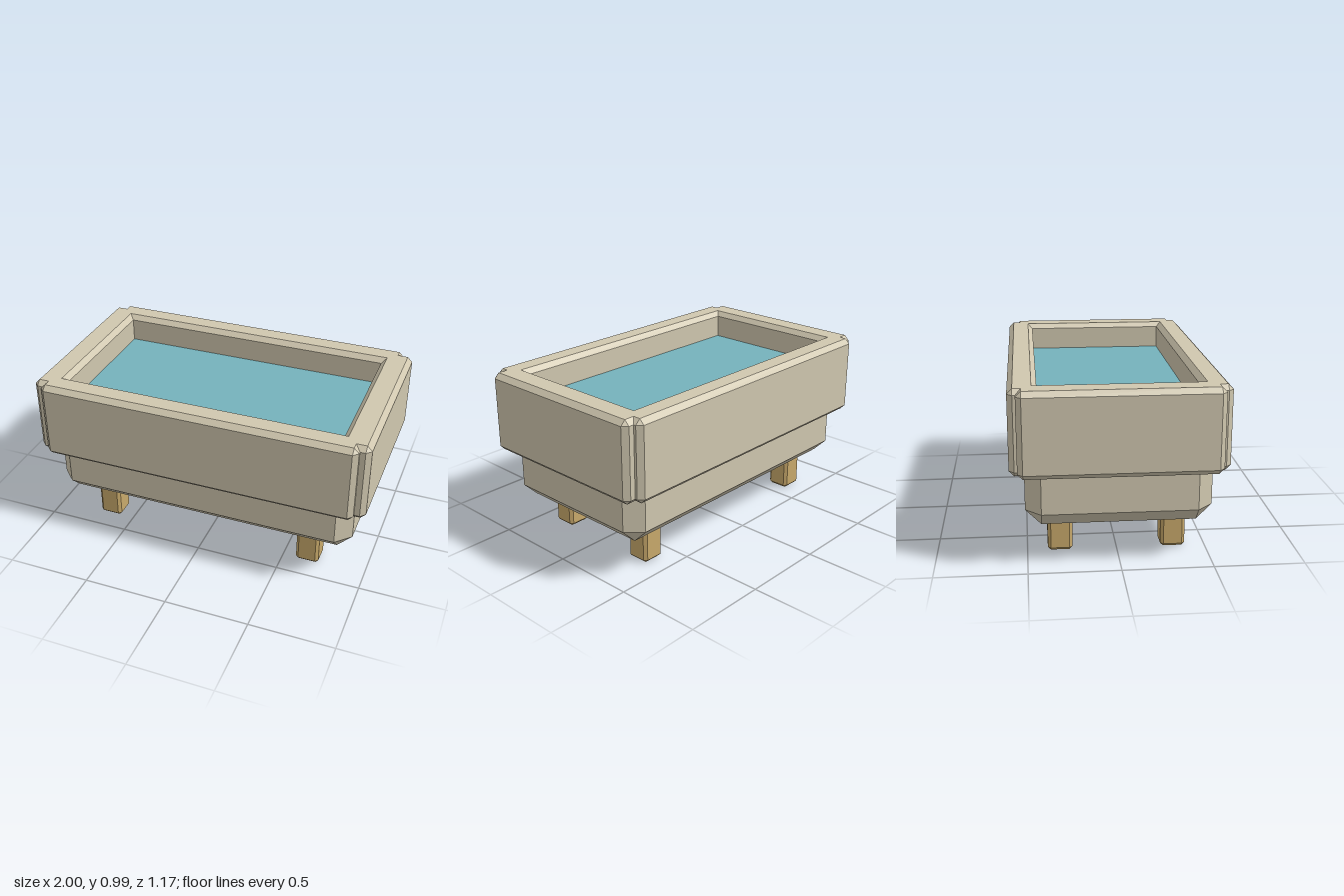
import * as THREE from 'three';
import { ConvexGeometry } from 'three/addons/geometries/ConvexGeometry.js';

// Box with flat chamfers on every edge and corner
function chamferBox(w, h, d, c) {
  const pts = [];
  for (const sx of [-1, 1]) for (const sy of [-1, 1]) for (const sz of [-1, 1]) {
    const x = w / 2, y = h / 2, z = d / 2;
    pts.push(
      new THREE.Vector3(sx * x, sy * (y - c), sz * (z - c)),
      new THREE.Vector3(sx * (x - c), sy * y, sz * (z - c)),
      new THREE.Vector3(sx * (x - c), sy * (y - c), sz * z)
    );
  }
  return new ConvexGeometry(pts);
}

export function createModel() {
  const group = new THREE.Group();
  const material = (name, color) => {
    const m = new THREE.MeshStandardMaterial({ color });
    m.name = name;
    return m;
  };
  const stone = material('stone', 0xd0c7af);
  const wood = material('wood', 0xc8a96b);
  const water = material('water', 0x75b2bc);

  const add = (name, geometry, mat, x, y, z) => {
    const mesh = new THREE.Mesh(geometry, mat);
    mesh.name = name;
    mesh.position.set(x, y, z);
    group.add(mesh);
  };

  // Lower basin body, rising inside the rim walls
  add('basin', chamferBox(1.84, 0.58, 1.016, 0.086), stone, 0, 0.503, 0);

  // Four rim walls that overlap at the corners and leave small notches
  const rimY = 0.756, rimH = 0.472, bevel = 0.029;
  for (const s of [1, -1]) {
    add(s > 0 ? 'frontWall' : 'backWall',
      chamferBox(1.88, rimH, 0.156, bevel), stone, 0, rimY, s * 0.509);
    add(s > 0 ? 'leftWall' : 'rightWall',
      chamferBox(0.172, rimH, 1.086, bevel), stone, s * 0.914, rimY, 0);
  }

  // Water surface
  add('water', new THREE.BoxGeometry(1.7, 0.02, 0.9), water, 0, 0.815, 0);

  // Legs
  const leg = chamferBox(0.138, 0.213, 0.138, 0.017);
  for (const sx of [1, -1]) for (const sz of [1, -1]) {
    add((sz > 0 ? 'front' : 'back') + (sx > 0 ? 'Left' : 'Right') + 'Leg',
      leg, wood, sx * 0.65, 0.1065, sz * 0.317);
  }
  return group;
}
